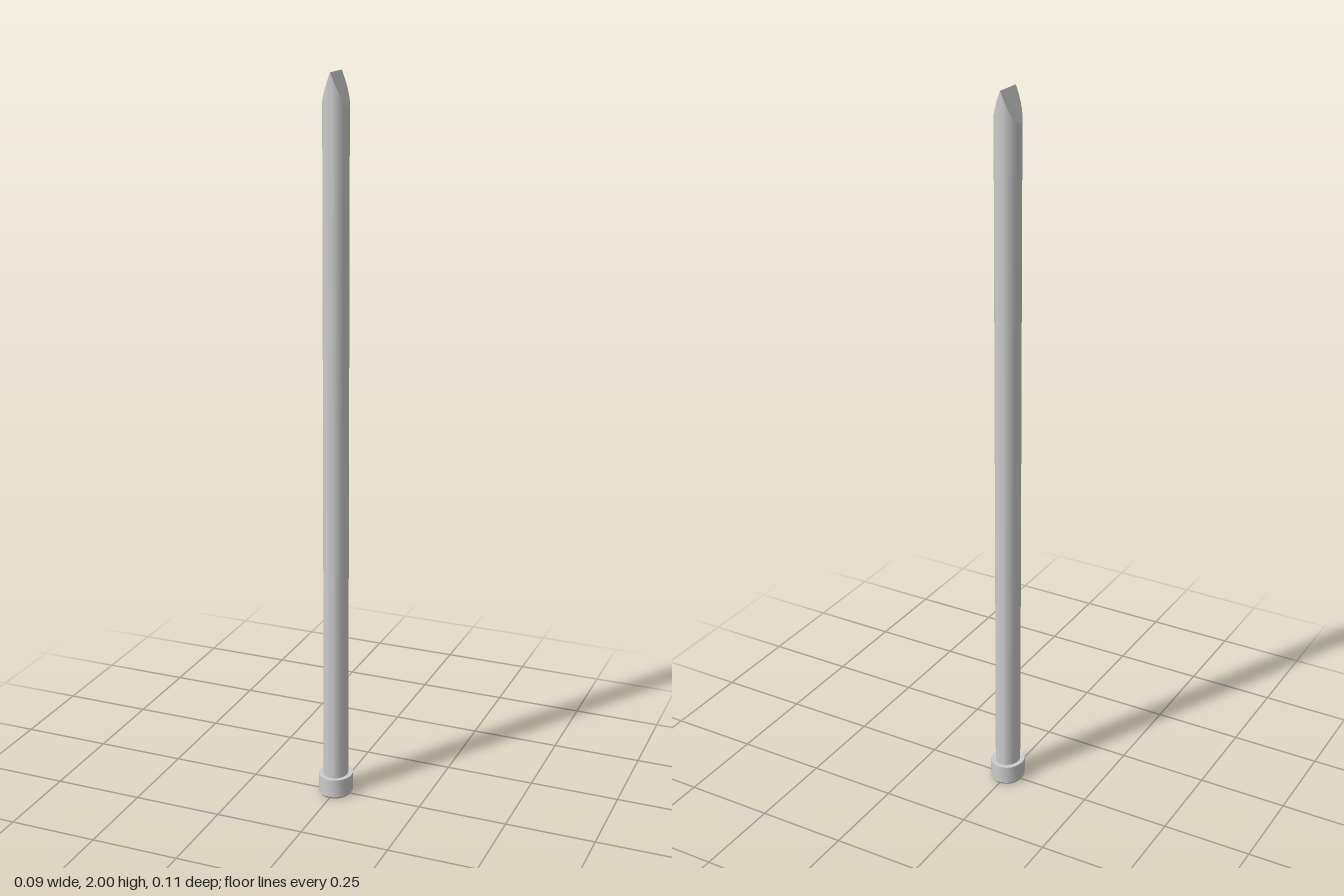
import * as THREE from 'three';
import { toCreasedNormals } from 'three/addons/utils/BufferGeometryUtils.js';

const SIDES = 24;
const HEAD_TOP = 0.058;
const SHAFT = { rx: 0.034, rz: 0.039 };
const HEAD = { rx: 0.047, rz: 0.053 };

export function createModel() {
  const group = new THREE.Group();
  const material = new THREE.MeshStandardMaterial({ color: 0xcccccc });

  const add = (name, geometry) => {
    const mesh = new THREE.Mesh(toCreasedNormals(geometry, 0.33), material);
    mesh.name = name;
    group.add(mesh);
  };

  // Flat head with a small bevel round its lower rim
  const profile = [[0, 0], [0.92, 0], [1, 0.006], [1, HEAD_TOP], [0, HEAD_TOP]]
    .map(([r, y]) => new THREE.Vector2(r, y));
  const head = new THREE.LatheGeometry(profile, SIDES);
  head.scale(HEAD.rx, 1, HEAD.rz);
  add('head', head);

  // Oval shaft; its upper end slopes down both ways from a ridge along z
  const shaft = new THREE.CylinderGeometry(1, 1, 2 - HEAD_TOP, SIDES);
  shaft.scale(SHAFT.rx, 1, SHAFT.rz);
  shaft.translate(0, 1 + HEAD_TOP / 2, 0);
  const p = shaft.attributes.position;
  for (let i = 0; i < p.count; i++) {
    if (p.getY(i) > 1) p.setY(i, 2 - 0.085 * Math.abs(p.getX(i)) / SHAFT.rx);
  }
  add('shaftWithChiselTip', shaft);

  return group;
}
